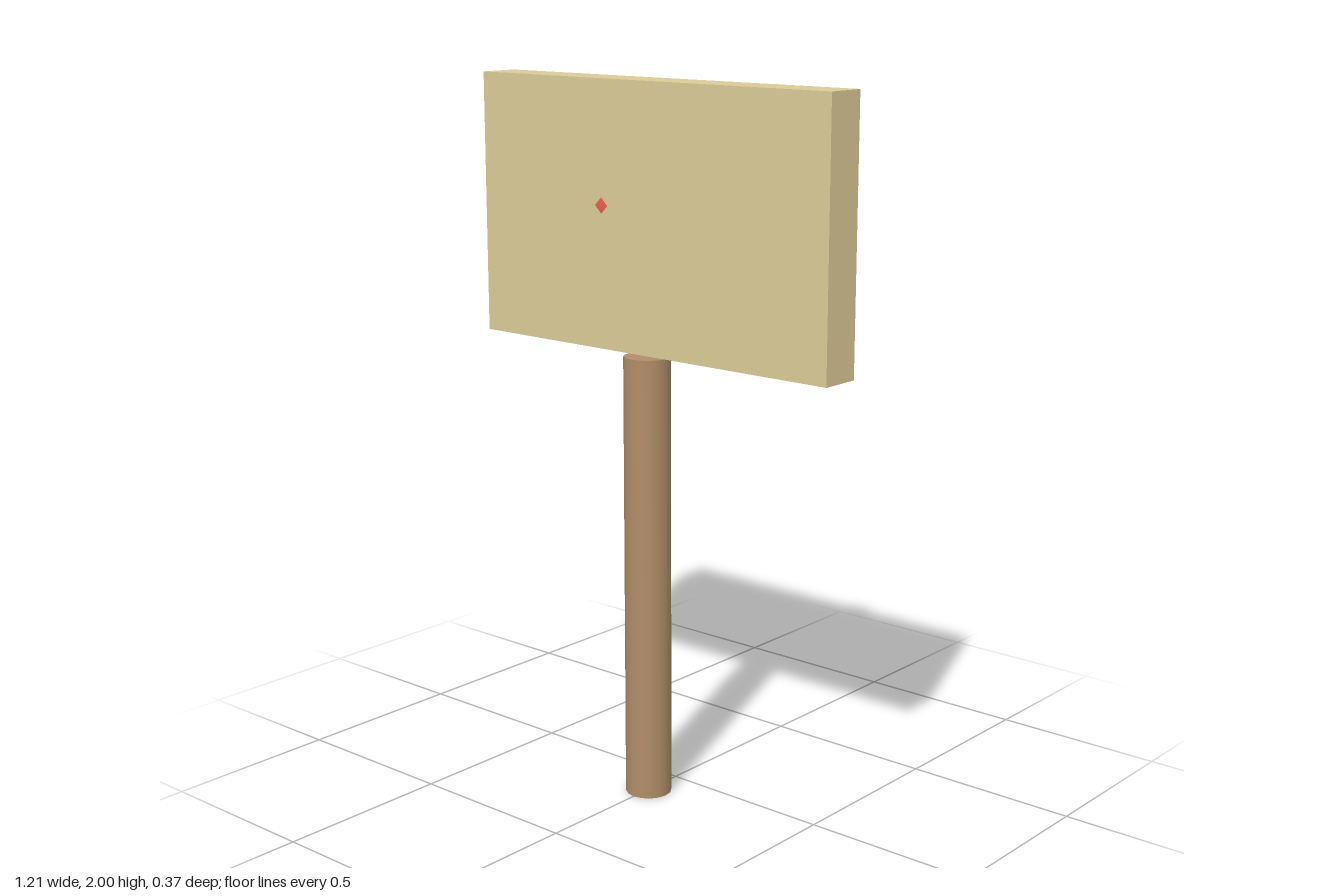
import * as THREE from 'three';

export function createModel() {
  const group = new THREE.Group();

  const add = (name, geometry, color, x, y, z) => {
    const mesh = new THREE.Mesh(geometry, new THREE.MeshStandardMaterial({ color }));
    mesh.name = name;
    mesh.position.set(x, y, z);
    group.add(mesh);
  };

  // Round post under the board, set slightly towards the front
  const postHeight = 1.265;
  add('post', new THREE.CylinderGeometry(0.065, 0.065, postHeight, 16), 0xb08d68, 0, postHeight / 2, 0.118);

  // Flat sign board
  const boardHeight = 2 - postHeight;
  add('board', new THREE.BoxGeometry(1.21, boardHeight, 0.118), 0xdccb98, 0, postHeight + boardHeight / 2, 0.064);

  // Balls sunk into the back; the large one just pokes through the front
  add('largeBall', new THREE.SphereGeometry(0.157, 12, 6), 0xe8604f, -0.16, 1.66, -0.028);
  add('smallBall', new THREE.SphereGeometry(0.091, 12, 6), 0x7fbf88, 0.104, 1.845, -0.028);

  return group;
}
